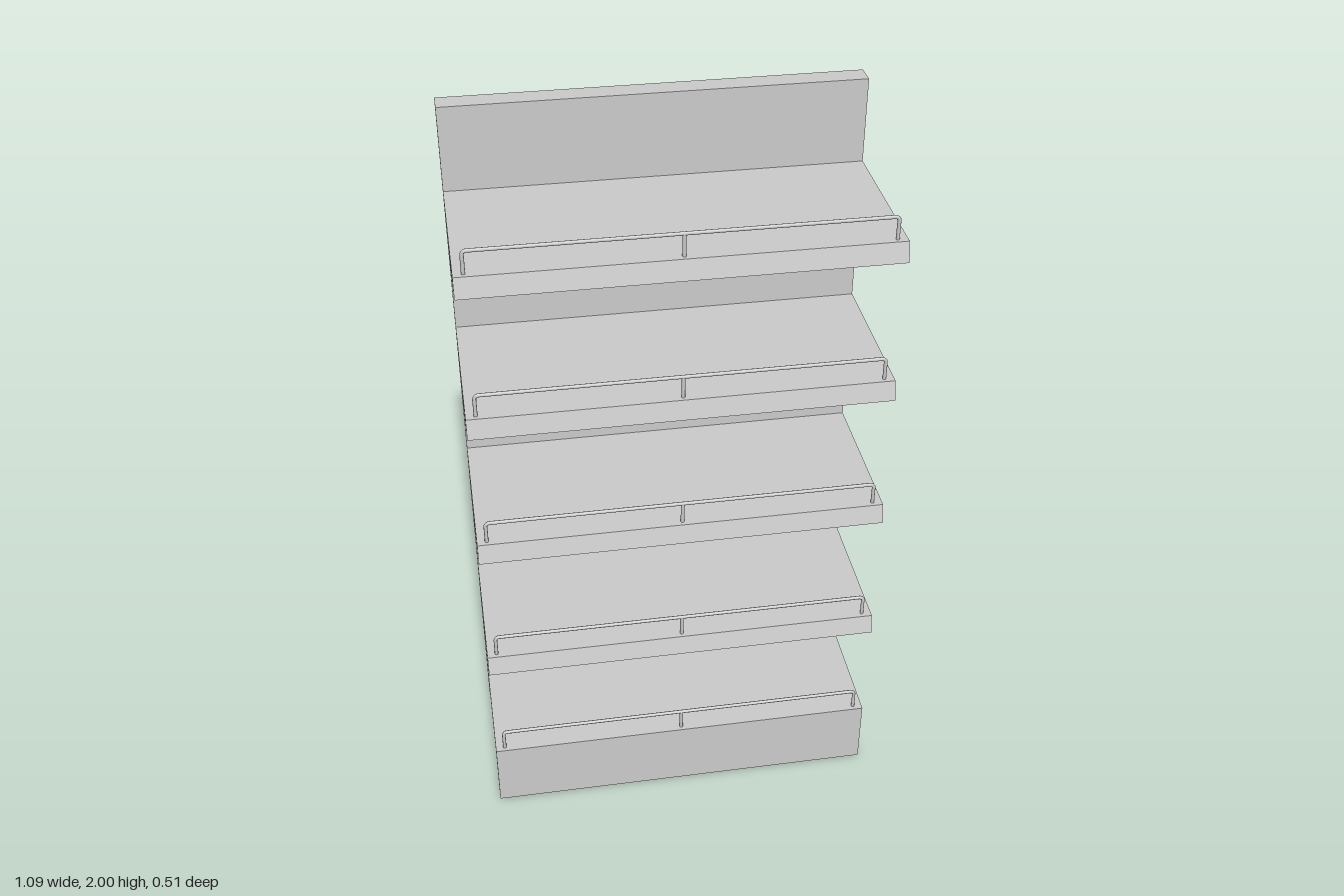
import * as THREE from 'three';

const HALF_W = 0.546;      // half width of the unit
const PANEL_FRONT = -0.197;
const PANEL_BACK = -0.257;
const PLATE = 0.011;       // side bracket thickness
const RAIL_R = 0.005;

const grey = new THREE.MeshStandardMaterial({ color: 0xcccccc });

function addMesh(parent, name, geometry) {
  const mesh = new THREE.Mesh(geometry, grey);
  mesh.name = name;
  parent.add(mesh);
  return mesh;
}

// Sweeps a [z, y] outline along x, centred on the given x
function sideProfile(points, width, x = 0) {
  const shape = new THREE.Shape(points.map(([z, y]) => new THREE.Vector2(z, y)));
  const geometry = new THREE.ExtrudeGeometry(shape, { depth: width, bevelEnabled: false });
  geometry.translate(0, 0, -width / 2);
  geometry.rotateY(-Math.PI / 2);
  geometry.translate(x, 0, 0);
  return geometry;
}

// Bent guard rail with a middle post, standing on a shelf top
function createRail(top) {
  const rail = new THREE.Group();
  rail.name = 'guardRail';
  const x = 0.52, h = 0.06, r = 0.012;
  const v = (px, py) => new THREE.Vector3(px, py, 0);
  const path = new THREE.CurvePath();
  path.add(new THREE.LineCurve3(v(-x, -0.005), v(-x, h - r)));
  path.add(new THREE.QuadraticBezierCurve3(v(-x, h - r), v(-x, h), v(-x + r, h)));
  path.add(new THREE.LineCurve3(v(-x + r, h), v(x - r, h)));
  path.add(new THREE.QuadraticBezierCurve3(v(x - r, h), v(x, h), v(x, h - r)));
  path.add(new THREE.LineCurve3(v(x, h - r), v(x, -0.005)));
  addMesh(rail, 'railBar', new THREE.TubeGeometry(path, 400, RAIL_R, 8));
  const post = addMesh(rail, 'railPost', new THREE.CylinderGeometry(RAIL_R, RAIL_R, h, 8));
  post.position.y = h / 2;
  rail.position.set(0, top, 0.228);
  return rail;
}

// Flat slab with a slanted front lip, carried by two tapered side brackets
function createShelf(top, drop) {
  const shelf = new THREE.Group();
  shelf.name = 'shelf';
  const lip = top - 0.052;
  const slab = [[PANEL_FRONT, top], [PANEL_FRONT, lip], [0.257, lip], [0.243, top]];
  const bracket = [[PANEL_FRONT, top], [PANEL_FRONT, top - drop], [0.257, lip], [0.243, top]];
  addMesh(shelf, 'shelfBoard', sideProfile(slab, 2 * (HALF_W - PLATE)));
  for (const side of [-1, 1]) {
    addMesh(shelf, side > 0 ? 'leftBracket' : 'rightBracket',
      sideProfile(bracket, PLATE, side * (HALF_W - PLATE / 2)));
  }
  shelf.add(createRail(top));
  return shelf;
}

export function createModel() {
  const model = new THREE.Group();
  model.name = 'displayShelf';

  // Back panel
  const depth = PANEL_FRONT - PANEL_BACK;
  const panel = addMesh(model, 'backPanel', new THREE.BoxGeometry(2 * HALF_W, 2, depth));
  panel.position.set(0, 1, (PANEL_FRONT + PANEL_BACK) / 2);

  // Base shelf with its front plinth
  addMesh(model, 'base', sideProfile([
    [PANEL_FRONT, 0.2], [PANEL_FRONT, 0.13], [0.17, 0.13],
    [0.17, 0], [0.243, 0], [0.243, 0.2],
  ], 2 * HALF_W));
  model.add(createRail(0.2));

  // Upper shelves: top height and bracket depth at the panel
  for (const [top, drop] of [[0.571, 0.121], [0.972, 0.136], [1.372, 0.136], [1.773, 0.136]]) {
    model.add(createShelf(top, drop));
  }
  return model;
}
